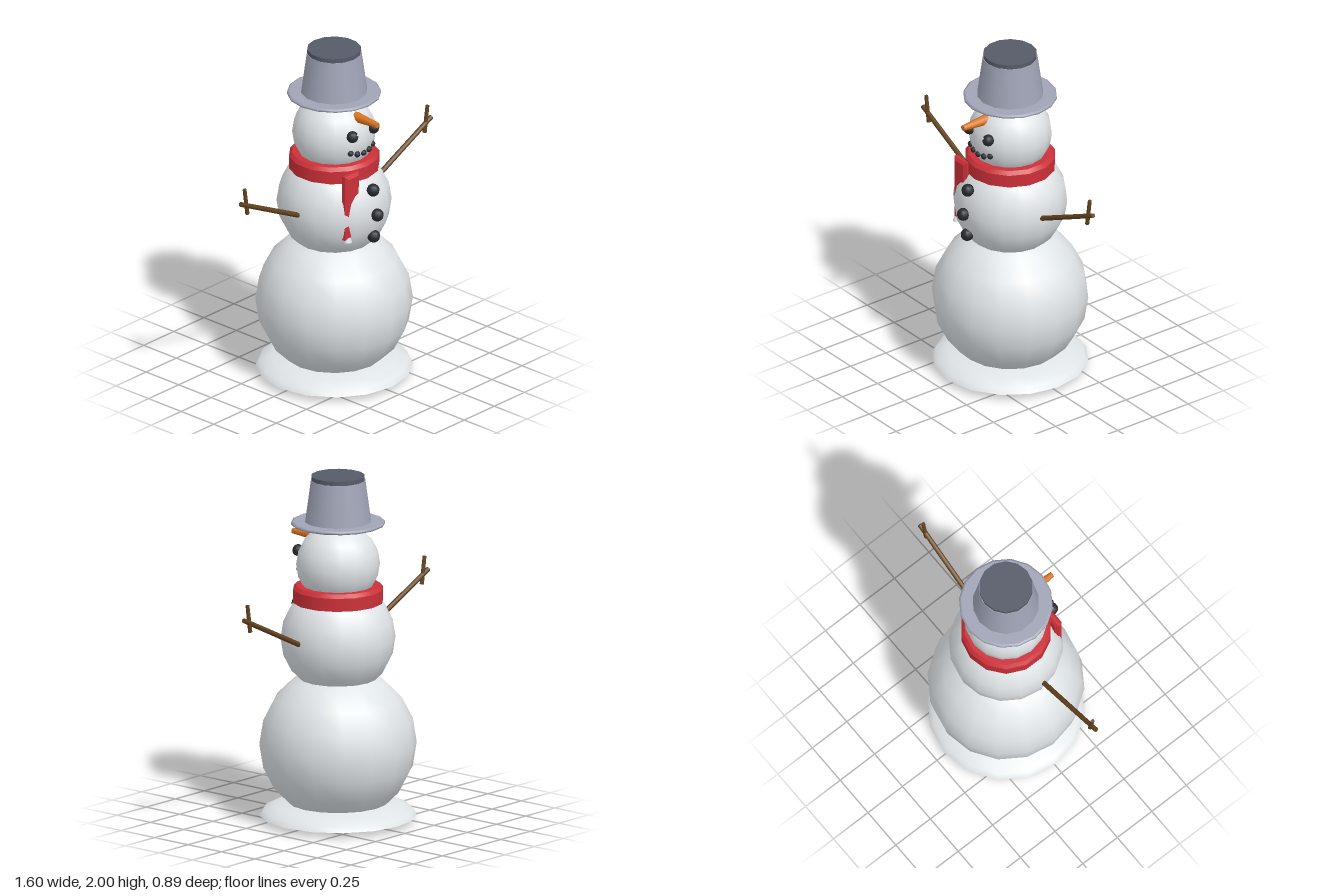
import * as THREE from 'three';

const mat = (name, color) => Object.assign(new THREE.MeshStandardMaterial({ color }), { name });

export function createModel() {
  const snow = mat('snow', 0xe8edf0);
  const hatGrey = mat('hat grey', 0xa0a4b6);
  const hatDark = mat('hat dark', 0x575b69);
  const red = mat('scarf red', 0xcc3038);
  const coal = mat('coal', 0x282a30);
  const carrot = mat('carrot', 0xd9751f);
  const wood = mat('wood', 0x64431f);

  const model = new THREE.Group();
  model.name = 'snowman';
  const add = (name, geometry, material, x = 0, y = 0, z = 0) => {
    const mesh = new THREE.Mesh(geometry, material);
    mesh.name = name;
    mesh.position.set(x, y, z);
    model.add(mesh);
    return mesh;
  };
  const ball = (name, r, material, x, y, z, w = 16, h = 10) =>
    add(name, new THREE.SphereGeometry(r, w, h), material, x, y, z);
  // Straight rod between two points
  const rod = (name, a, b, r0, r1, material, sides) => {
    const dir = b.clone().sub(a);
    const mesh = add(name, new THREE.CylinderGeometry(r1, r0, dir.length(), sides), material);
    mesh.position.copy(a).addScaledVector(dir, 0.5);
    mesh.quaternion.setFromUnitVectors(new THREE.Vector3(0, 1, 0), dir.normalize());
    return mesh;
  };
  const lathe = (points, n) =>
    new THREE.LatheGeometry(points.map(([r, y]) => new THREE.Vector2(r, y)), n);

  // Snowballs
  ball('body', 0.445, snow, 0, 0.445, 0);
  ball('chest', 0.325, snow, 0, 1.06, 0);
  ball('head', 0.237, snow, 0, 1.488, 0);

  // Snow mound: low dome with a flat underside
  const dome = [0, 18, 36, 54, 72, 90].map(d => {
    const a = THREE.MathUtils.degToRad(d);
    return [0.445 * Math.cos(a), 0.03 + 0.1 * Math.sin(a)];
  });
  add('mound', lathe(dome, 16), snow);
  const underside = add('moundUnderside', new THREE.CircleGeometry(0.445, 16), snow, 0, 0.03, 0);
  underside.rotation.x = Math.PI / 2;

  // Hat
  add('hatBrim', lathe([[0, 1.715], [0.255, 1.715], [0.255, 1.715], [0.266, 1.72],
    [0.266, 1.731], [0.255, 1.736], [0.255, 1.736], [0, 1.736]], 16), hatGrey);
  add('hatCrown', new THREE.CylinderGeometry(0.156, 0.19, 0.245, 14), hatGrey, 0, 1.8525, 0);
  add('hatTop', new THREE.CylinderGeometry(0.153, 0.153, 0.03, 14), hatDark, 0, 1.985, 0);

  // Scarf ring with a bevelled upper edge
  const scarf = [[0.17, 1.27], [0.258, 1.27], [0.258, 1.345], [0.24, 1.366], [0.17, 1.366]];
  for (let i = 0; i < scarf.length - 1; i++) {
    add('scarfRing', lathe([scarf[i], scarf[i + 1]], 14), red);
  }

  // Hanging scarf end, bevelled, sinking into the chest
  const tail = new THREE.Shape();
  tail.moveTo(-0.04, -0.18);
  tail.lineTo(0.04, -0.18);
  tail.lineTo(0.04, 0.18);
  tail.lineTo(-0.04, 0.18);
  tail.closePath();
  const tailGeometry = new THREE.ExtrudeGeometry(tail, {
    depth: 0.02, bevelEnabled: true, bevelSize: 0.018, bevelThickness: 0.014, bevelSegments: 1,
  });
  add('scarfTail', tailGeometry, red, -0.126, 1.138, 0.233);
  add('scarfFringe', new THREE.ConeGeometry(0.024, 0.065, 8), snow, -0.16, 0.96, 0.255);

  // Face
  for (const s of [-1, 1]) {
    ball('eye', 0.034, coal, s * 0.087, 1.545, 0.222, 10, 8);
    ball('eyeGlint', 0.007, snow, s * 0.075, 1.56, 0.249, 6, 4);
  }
  for (const [x, y, z] of [[-0.09, 1.44, 0.21], [-0.048, 1.425, 0.222], [0, 1.42, 0.226],
    [0.048, 1.425, 0.222], [0.09, 1.44, 0.21]]) {
    ball('mouthCoal', 0.018, coal, x, y, z, 8, 6);
  }
  rod('nose', new THREE.Vector3(0, 1.625, 0.14), new THREE.Vector3(0, 1.623, 0.335),
    0.033, 0.017, carrot, 8);

  // Buttons
  for (const [y, z] of [[1.21, 0.3], [1.065, 0.332], [0.925, 0.305]]) {
    ball('button', 0.037, coal, 0, y, z, 10, 8);
  }

  // Arms, each with a crossing twig
  for (const s of [-1, 1]) {
    const p = (x, y) => new THREE.Vector3(s * x, y, 0.015);
    rod('arm', p(0.27, 1.05), p(0.792, 1.303), 0.015, 0.014, wood, 8);
    rod('twig', p(0.736, 1.225), p(0.76, 1.385), 0.012, 0.011, wood, 8);
  }
  return model;
}
